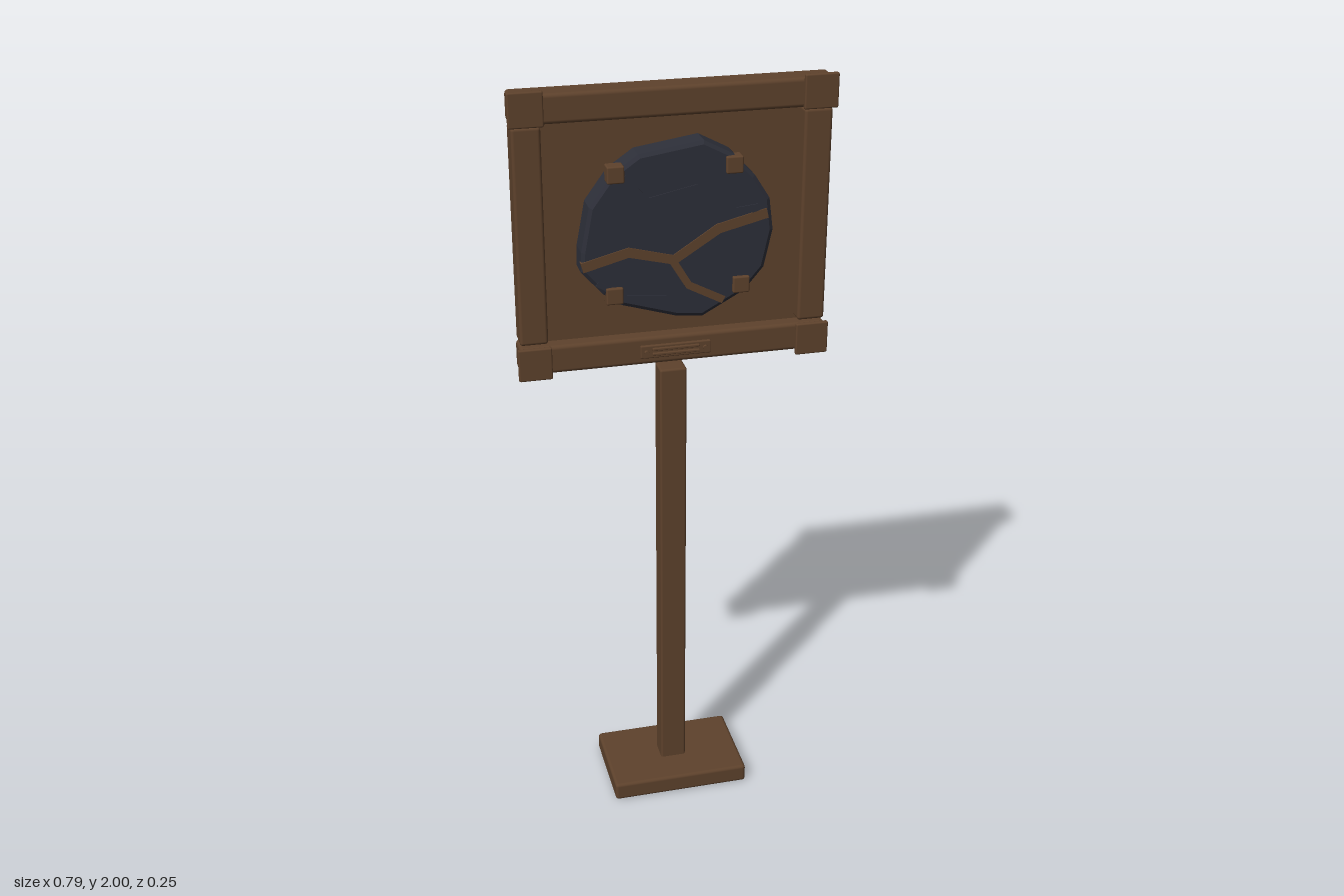
import * as THREE from 'three';
import { RoundedBoxGeometry } from 'three/addons/geometries/RoundedBoxGeometry.js';

const wood = new THREE.MeshStandardMaterial({ name: 'brown wood', color: 0x5e422c });
const slate = new THREE.MeshStandardMaterial({ name: 'dark slate', color: 0x2d2f39 });

// Softly rounded block given by its limits on each axis
function block(name, [x0, x1], [y0, y1], [z0, z1], radius = 0.006) {
  const mesh = new THREE.Mesh(new RoundedBoxGeometry(x1 - x0, y1 - y0, z1 - z0, 2, radius), wood);
  mesh.position.set((x0 + x1) / 2, (y0 + y1) / 2, (z0 + z1) / 2);
  mesh.name = name;
  return mesh;
}

// Flat band of constant width that follows a path in the sign's plane
function band(name, path, width, z0, z1, material) {
  const pts = path.map(([x, y]) => new THREE.Vector2(x, y));
  const left = [], right = [];
  pts.forEach((p, i) => {
    const a = pts[Math.max(i - 1, 0)], b = pts[Math.min(i + 1, pts.length - 1)];
    const d = b.clone().sub(a).normalize().multiplyScalar(width / 2);
    left.push(new THREE.Vector2(p.x - d.y, p.y + d.x));
    right.unshift(new THREE.Vector2(p.x + d.y, p.y - d.x));
  });
  const geo = new THREE.ExtrudeGeometry(new THREE.Shape([...left, ...right]), { depth: z1 - z0, bevelEnabled: false });
  geo.translate(0, 0, z0);
  const mesh = new THREE.Mesh(geo, material);
  mesh.name = name;
  return mesh;
}

export function createModel() {
  const model = new THREE.Group();
  model.name = 'signpost';

  // Stand
  model.add(block('base', [-0.188, 0.188], [0, 0.052], [-0.125, 0.125], 0.009));
  model.add(block('post', [-0.035, 0.035], [0.045, 1.265], [-0.03, 0.03]));

  // Framed board
  model.add(block('backPanel', [-0.375, 0.375], [1.355, 1.93], [-0.022, 0.01], 0.003));
  model.add(block('topRail', [-0.39, 0.39], [1.918, 1.99], [-0.026, 0.047], 0.01));
  model.add(block('bottomRail', [-0.39, 0.39], [1.293, 1.366], [-0.026, 0.047], 0.01));
  for (const s of [-1, 1]) {
    const side = (a, b) => [Math.min(s * a, s * b), Math.max(s * a, s * b)];
    model.add(block('sideStile', side(0.318, 0.388), [1.372, 1.914], [-0.021, 0.045], 0.008));
    model.add(block('cornerPlate', side(0.312, 0.396), [1.916, 2], [0.044, 0.058], 0.004));
    model.add(block('cornerPlate', side(0.312, 0.396), [1.283, 1.367], [0.044, 0.058], 0.004));
  }

  // Irregular stone slab
  const outline = [
    [-0.238, 1.56], [-0.236, 1.61], [-0.215, 1.72], [-0.16, 1.795], [-0.095, 1.84], [0.063, 1.864],
    [0.138, 1.825], [0.19, 1.77], [0.228, 1.71], [0.238, 1.63], [0.217, 1.535], [0.169, 1.478],
    [0.063, 1.42], [-0.005, 1.427], [-0.138, 1.467], [-0.185, 1.5],
  ].map(([x, y]) => new THREE.Vector2(x, y));
  const slabGeo = new THREE.ExtrudeGeometry(new THREE.Shape(outline), {
    depth: 0.057, bevelThickness: 0.006, bevelSize: 0.009, bevelOffset: -0.009, bevelSegments: 1,
  });
  slabGeo.translate(0, 0, 0.01);
  const slab = new THREE.Mesh(slabGeo, slate);
  slab.name = 'stoneSlab';
  model.add(slab);

  // Cracks across the slab and a shallow chipped ridge above them
  model.add(band('mainCrack', [[-0.236, 1.573], [-0.122, 1.603], [-0.01, 1.575], [0.1, 1.645], [0.222, 1.675]], 0.025, 0.06, 0.076, wood));
  model.add(band('branchCrack', [[-0.015, 1.575], [0.027, 1.506], [0.115, 1.46]], 0.019, 0.06, 0.0755, wood));
  model.add(band('slateRidge', [[-0.135, 1.787], [-0.075, 1.725], [0.045, 1.75], [0.14, 1.685], [0.2, 1.69]], 0.02, 0.07, 0.0755, slate));
  model.add(band('lowerRidge', [[-0.2, 1.53], [-0.13, 1.488], [-0.03, 1.478]], 0.014, 0.07, 0.0748, slate));

  // Clips holding the slab
  for (const [x, y] of [[-0.152, 1.798], [0.137, 1.802], [-0.158, 1.496], [0.158, 1.498]]) {
    model.add(block('slabClip', [x - 0.021, x + 0.021], [y - 0.021, y + 0.021], [0.047, 0.083], 0.004));
  }

  // Label holder on the bottom rail
  const label = new THREE.Group();
  label.name = 'labelHolder';
  label.add(block('labelPlate', [-0.09, 0.09], [1.312, 1.346], [0.044, 0.054], 0.003));
  label.add(block('labelBar', [-0.06, 0.06], [1.32, 1.327], [0.052, 0.06], 0.002));
  label.add(block('labelBar', [-0.06, 0.06], [1.333, 1.34], [0.052, 0.06], 0.002));
  for (const x of [-0.075, 0.075]) {
    const pin = new THREE.Mesh(new THREE.CylinderGeometry(0.006, 0.006, 0.008, 12), wood);
    pin.rotation.x = Math.PI / 2;
    pin.position.set(x, 1.329, 0.057);
    pin.name = 'labelPin';
    label.add(pin);
  }
  model.add(label);
  return model;
}
